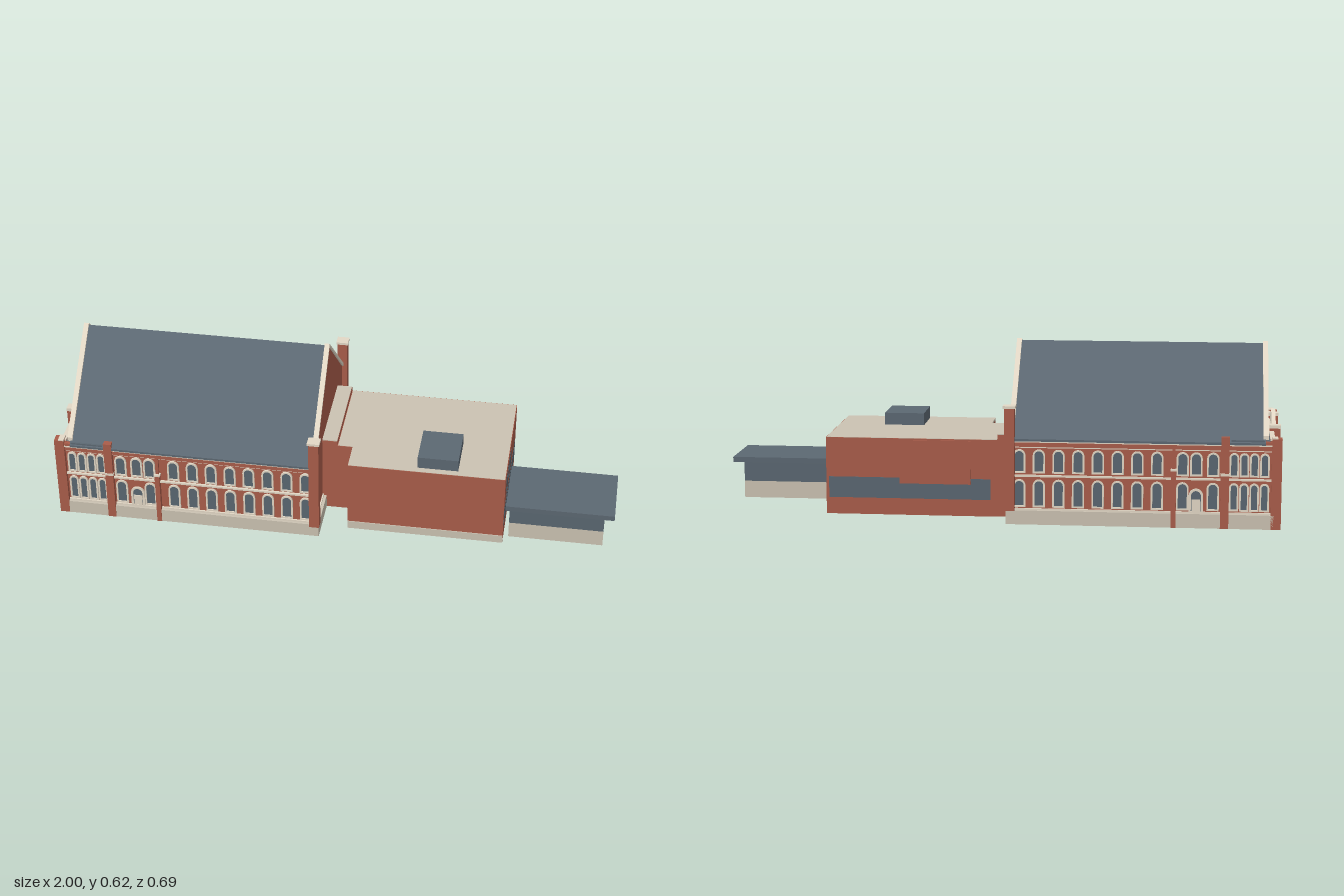
import * as THREE from 'three';

const mat = (name, color) => {
  const m = new THREE.MeshStandardMaterial({ color });
  m.name = name;
  return m;
};

export function createModel() {
  const brick = mat('brick', 0xa95d4a);
  const stone = mat('stone', 0xcbc2b2);
  const trim = mat('pale trim', 0xe2d7c5);
  const slate = mat('slate', 0x5c6872);
  const glass = mat('glass', 0x5a6771);
  const root = new THREE.Group();
  root.name = 'assemblyHall';

  const add = (parent, name, geo, material) => {
    const m = new THREE.Mesh(geo, material);
    m.name = name;
    parent.add(m);
    return m;
  };
  // box given by its lower and upper limits on each axis
  const box = (parent, name, material, x0, x1, y0, y1, z0, z1) => {
    const m = add(parent, name, new THREE.BoxGeometry(x1 - x0, y1 - y0, z1 - z0), material);
    m.position.set((x0 + x1) / 2, (y0 + y1) / 2, (z0 + z1) / 2);
    return m;
  };
  const points = (pts) => pts.map(([x, y]) => new THREE.Vector2(x, y));
  // outline in (z, y), extruded from x0 to x1
  const acrossX = (parent, name, material, pts, x0, x1) => {
    const s = new THREE.Shape(points(pts.map(([z, y]) => [-z, y])));
    const g = new THREE.ExtrudeGeometry(s, { depth: x1 - x0, bevelEnabled: false });
    g.rotateY(Math.PI / 2);
    g.translate(x0, 0, 0);
    return add(parent, name, g, material);
  };
  // open-ended walls of thickness t around a right-angled footprint in (x, -z), anticlockwise
  const shell = (parent, name, material, pts, t, y0, y1) => {
    const inner = pts.map((p, i) => {
      const a = pts[(i + pts.length - 1) % pts.length];
      const b = pts[(i + 1) % pts.length];
      return [
        p[0] - t * (Math.sign(p[1] - a[1]) + Math.sign(b[1] - p[1])),
        p[1] + t * (Math.sign(p[0] - a[0]) + Math.sign(b[0] - p[0])),
      ];
    });
    const s = new THREE.Shape(points(pts));
    s.holes.push(new THREE.Path(points(inner)));
    const g = new THREE.ExtrudeGeometry(s, { depth: y1 - y0, bevelEnabled: false });
    g.rotateX(-Math.PI / 2);
    g.translate(0, y0, 0);
    return add(parent, name, g, material);
  };
  const rect = (x0, x1, z0, z1) => [[x0, -z1], [x1, -z1], [x1, -z0], [x0, -z0]];
  const outline = (Type, w, h, y0 = 0) => {
    const s = new Type();
    const r = w / 2;
    s.moveTo(-r, y0);
    s.lineTo(r, y0);
    s.lineTo(r, h - r);
    s.absarc(0, h - r, r, 0, Math.PI, false);
    s.lineTo(-r, y0);
    return s;
  };
  // round-headed window on a wall group whose outside is local +z
  const archWindow = (wall, x, y, w, h, z = 0, t = 0.006) => {
    const g = new THREE.Group();
    g.name = 'archedWindow';
    g.position.set(x, y, z);
    const frame = outline(THREE.Shape, w, h);
    frame.holes.push(outline(THREE.Path, w - 2 * t, h - t, t));
    add(g, 'windowSurround', new THREE.ExtrudeGeometry(frame, { depth: 0.006, bevelEnabled: false, curveSegments: 8 }), trim);
    const pane = add(g, 'windowPane', new THREE.ShapeGeometry(outline(THREE.Shape, w - 2 * t, h - t, t), 8), glass);
    pane.position.z = 0.002;
    wall.add(g);
  };

  // main hall: plinth, walls, gable and roof
  const hall = new THREE.Group();
  hall.name = 'mainHall';
  root.add(hall);
  shell(hall, 'plinth', stone, rect(-0.974, -0.045, -0.325, 0.325), 0.014, 0, 0.05);
  box(hall, 'hallFloor', stone, -0.962, -0.055, 0.042, 0.05, -0.314, 0.314);
  box(hall, 'plinthSill', trim, -0.972, -0.055, 0.05, 0.056, -0.316, 0.316);
  box(hall, 'hallWalls', brick, -0.968, -0.06, 0.05, 0.3, -0.31, 0.31);
  acrossX(hall, 'gables', brick, [[-0.31, 0.29], [0.31, 0.29], [0.31, 0.313], [0, 0.604], [-0.31, 0.313]], -0.945, -0.06);
  acrossX(hall, 'roof', slate,
    [[0, 0.608], [-0.325, 0.303], [-0.325, 0.295], [0, 0.6], [0.325, 0.295], [0.325, 0.303]], -0.943, -0.065);
  for (const x of [-0.953, -0.073]) {
    acrossX(hall, 'gableCoping', trim,
      [[0, 0.615], [-0.312, 0.327], [-0.312, 0.313], [0, 0.604], [0.312, 0.313], [0.312, 0.327]], x, x + 0.018);
  }
  box(hall, 'facadeGutter', slate, -0.96, -0.945, 0.3, 0.304, -0.31, 0.31);

  // two long sides, with s turning local x into the world's x
  for (const s of [1, -1]) {
    const wall = new THREE.Group();
    wall.name = s > 0 ? 'frontWall' : 'backWall';
    wall.position.z = s * 0.31;
    if (s < 0) wall.rotation.y = Math.PI;
    hall.add(wall);
    const strip = (name, m, x0, x1, y0, y1, z0, z1) =>
      box(wall, name, m, Math.min(s * x0, s * x1), Math.max(s * x0, s * x1), y0, y1, z0, z1);

    strip('beltCourse', trim, -0.966, -0.07, 0.168, 0.175, 0, 0.008);
    strip('upperString', trim, -0.966, -0.07, 0.271, 0.275, 0, 0.007);
    strip('corbelTable', brick, -0.966, -0.07, 0.275, 0.291, 0, 0.01);
    strip('cornice', trim, -0.966, -0.07, 0.291, 0.296, 0, 0.013);
    strip('bayParapet', brick, -0.965, -0.79, 0.296, 0.306, -0.004, 0.011);
    strip('bayParapetCap', slate, -0.94, -0.825, 0.306, 0.312, -0.006, 0.012);
    strip('bayPier', brick, -0.82, -0.791, 0, 0.322, -0.005, 0.017);
    strip('bayPierBand', trim, -0.821, -0.79, 0.185, 0.195, 0, 0.018);
    strip('buttress', brick, -0.638, -0.621, 0, 0.2, 0, 0.018);
    strip('buttressCap', trim, -0.64, -0.619, 0.2, 0.207, 0, 0.018);
    strip('buttressUpper', brick, -0.635, -0.624, 0.207, 0.275, 0, 0.01);

    for (let i = 0; i < 4; i++) {
      const x = s * (-0.942 + i * 0.035);
      archWindow(wall, x, 0.06, 0.033, 0.099);
      archWindow(wall, x, 0.181, 0.033, 0.084);
    }
    const xs = [-0.765, -0.707, -0.66];
    for (let i = 0; i < 8; i++) xs.push(-0.572 + i * 0.0685);
    xs.forEach((x, i) => {
      if (i !== 1) archWindow(wall, s * x, 0.06, 0.043, 0.099);
      archWindow(wall, s * x, 0.181, 0.043, 0.084);
    });
    // side doorway
    archWindow(wall, s * -0.707, 0.05, 0.05, 0.088, 0.003, 0.008);
    strip('doorPanel', trim, -0.722, -0.692, 0.05, 0.1, 0, 0.008);

    // tall chimney pier at the far corner
    strip('chimneyPier', brick, -0.077, -0.041, 0.05, 0.412, -0.001, 0.03);
    strip('chimneyCap', trim, -0.081, -0.037, 0.412, 0.421, -0.005, 0.035);
    // corner pier of the entrance end
    strip('cornerPier', brick, -1, -0.965, 0, 0.318, -0.02, 0.015);
    strip('cornerPierCap', trim, -0.985, -0.965, 0.318, 0.322, -0.02, 0.015);
  }

  // entrance end, facing -x
  const west = new THREE.Group();
  west.name = 'entranceFacade';
  west.position.x = -0.968;
  west.rotation.y = -Math.PI / 2;
  hall.add(west);
  box(west, 'beltCourse', trim, -0.3, 0.3, 0.168, 0.175, 0, 0.008);
  box(west, 'upperString', trim, -0.3, 0.3, 0.271, 0.275, 0, 0.007);
  box(west, 'parapet', brick, -0.31, 0.31, 0.275, 0.31, -0.008, 0.006);
  box(west, 'parapetCap', trim, -0.31, 0.31, 0.31, 0.316, -0.009, 0.008);
  for (const s of [-1, 1]) {
    box(west, 'entrancePier', brick, s * 0.135 - 0.014, s * 0.135 + 0.014, 0, 0.325, -0.008, 0.031);
    box(west, 'entrancePierCap', trim, s * 0.135 - 0.016, s * 0.135 + 0.016, 0.325, 0.337, -0.008, 0.032);
    for (let i = 0; i < 3; i++) {
      const x = s * (0.176 + i * 0.043);
      archWindow(west, x, 0.06, 0.038, 0.099);
      archWindow(west, x, 0.181, 0.038, 0.084);
    }
    archWindow(west, s * 0.09, 0.06, 0.037, 0.099);
  }
  archWindow(west, 0, 0.02, 0.104, 0.146, 0.006, 0.012);
  box(west, 'doorStep', stone, -0.06, 0.06, 0, 0.02, 0, 0.02);
  for (const x of [-0.083, -0.028, 0.028, 0.083]) archWindow(west, x, 0.181, 0.044, 0.084);

  // stepped pediment over the entrance
  const ped = new THREE.Shape(points(
    [[-0.12, 0.314], [0.12, 0.314], [0.12, 0.329], [0.06, 0.341], [0, 0.373], [-0.06, 0.341], [-0.12, 0.329]]));
  const pedMesh = add(west, 'pediment', new THREE.ExtrudeGeometry(ped, { depth: 0.015, bevelEnabled: false }), trim);
  pedMesh.position.z = 0.001;
  const panel = add(west, 'pedimentPanel',
    new THREE.ShapeGeometry(new THREE.Shape(points([[-0.055, 0.322], [0.055, 0.322], [0, 0.358]]))), brick);
  panel.position.z = 0.0175;

  // great arched window in the gable, with mullions
  archWindow(west, 0, 0.32, 0.15, 0.15, 0.968 - 0.945 - 0.046, 0.01);
  for (const x of [-0.025, 0.025]) box(west, 'mullion', trim, x - 0.002, x + 0.002, 0.33, 0.45, -0.022, -0.018);
  box(west, 'transom', trim, -0.065, 0.065, 0.39, 0.395, -0.022, -0.018);

  // link and rear wing, open beneath
  const wing = new THREE.Group();
  wing.name = 'wing';
  root.add(wing);
  shell(wing, 'linkWalls', brick, rect(-0.06, -0.005, -0.205, 0.145), 0.006, 0, 0.295);
  box(wing, 'linkRoof', stone, -0.06, -0.006, 0.292, 0.298, -0.204, 0.144);
  shell(wing, 'wingWalls', brick,
    [[-0.005, -0.145], [0.05, -0.145], [0.05, -0.257], [0.61, -0.257], [0.61, 0.21], [-0.005, 0.21]], 0.006, 0, 0.277);
  box(wing, 'wingRoof', stone, 0.05, 0.608, 0.27, 0.278, -0.208, 0.255);
  box(wing, 'wingRoofSide', stone, -0.003, 0.05, 0.27, 0.278, -0.208, 0.143);
  box(wing, 'wingPlinth', stone, 0.05, 0.61, 0, 0.03, 0.257, 0.26);
  box(wing, 'backBay', brick, 0.09, 0.345, 0.115, 0.272, -0.215, -0.21);
  box(wing, 'backWindowBand', glass, 0.02, 0.6, 0.06, 0.135, -0.211, -0.21);
  box(wing, 'endWindowBand', glass, 0.61, 0.611, 0.06, 0.135, -0.195, 0.238);
  for (const z of [0.015, 0.125]) box(wing, 'endWindow', glass, 0.61, 0.611, 0.165, 0.245, z, z + 0.075);
  box(wing, 'rooftopUnit', slate, 0.295, 0.44, 0.278, 0.322, 0.066, 0.231);

  // glazed porch with flat canopy
  const porch = new THREE.Group();
  porch.name = 'porch';
  root.add(porch);
  shell(porch, 'porchBase', stone, rect(0.628, 0.965, 0.036, 0.219), 0.008, 0, 0.062);
  box(porch, 'porchFloor', stone, 0.634, 0.959, 0.054, 0.062, 0.042, 0.213);
  box(porch, 'porchGlazing', glass, 0.628, 0.965, 0.062, 0.138, 0.036, 0.219);
  box(porch, 'porchCanopy', slate, 0.615, 1, 0.138, 0.157, 0.006, 0.249);
  return root;
}
